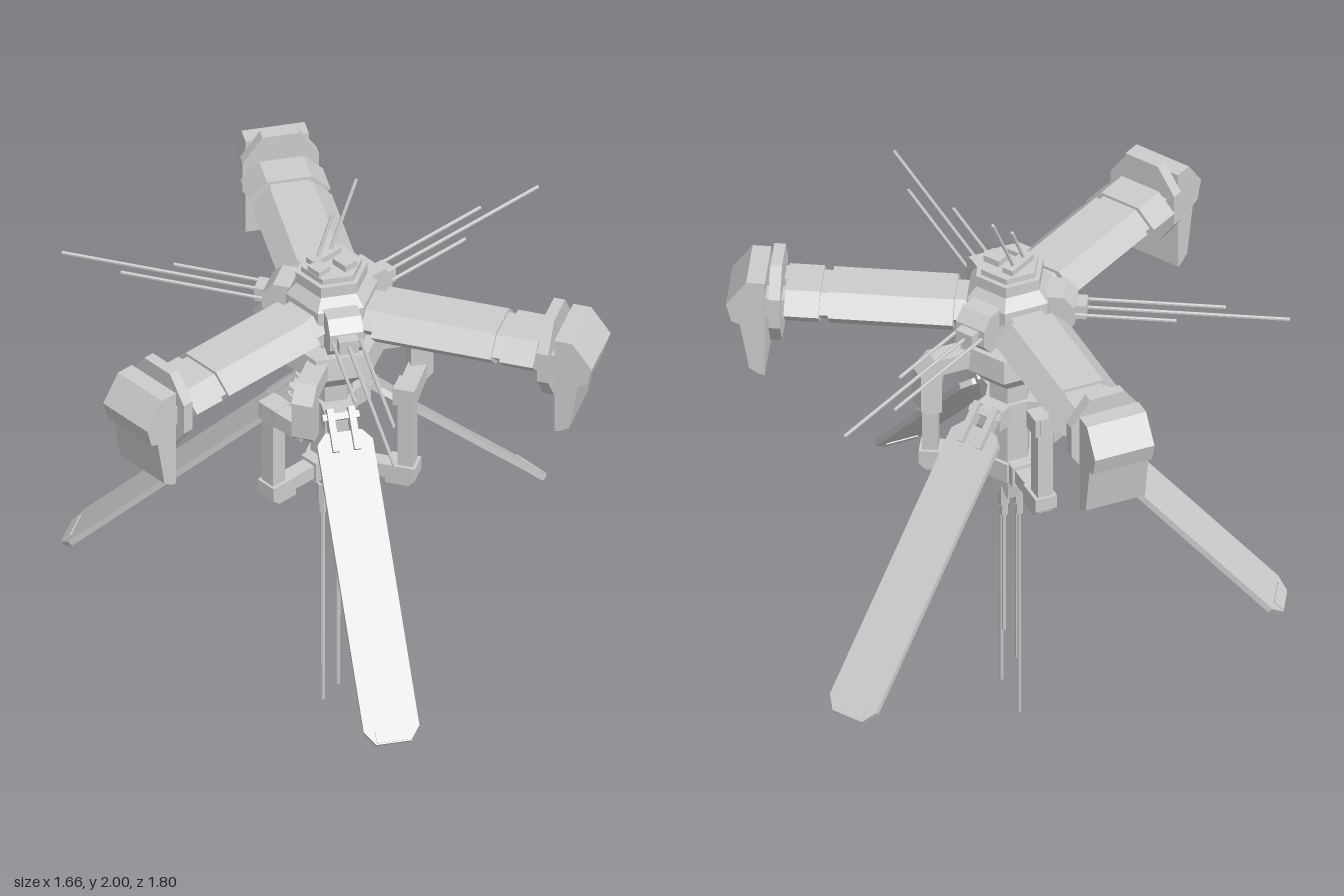
import * as THREE from 'three';

const mat = new THREE.MeshStandardMaterial({ color: 0xcccccc, flatShading: true });
const THIRD = Math.PI * 2 / 3;

function add(parent, name, geo, x = 0, y = 0, z = 0) {
  const mesh = new THREE.Mesh(geo, mat);
  mesh.name = name;
  mesh.position.set(x, y, z);
  parent.add(mesh);
  return mesh;
}

const box = (parent, name, w, h, d, x, y, z) =>
  add(parent, name, new THREE.BoxGeometry(w, h, d), x, y, z);

// Six-sided stack section with flats towards the arms
function hex(parent, name, rTop, rBottom, y0, y1) {
  const geo = new THREE.CylinderGeometry(rTop, rBottom, y1 - y0, 6).rotateY(Math.PI / 6);
  return add(parent, name, geo, 0, (y0 + y1) / 2, 0);
}

const outline = pts => new THREE.Shape(pts.map(p => new THREE.Vector2(...p)));
const extrude = (pts, depth) =>
  new THREE.ExtrudeGeometry(outline(pts), { depth, bevelEnabled: false });

// Side profile of [z, y] points, extruded evenly across x
const profile = (pts, width) =>
  extrude(pts, width).translate(0, 0, -width / 2).rotateY(-Math.PI / 2);

// Thin round rod between two points
function rod(parent, name, a, b, r = 0.006) {
  const p = new THREE.Vector3(...a), q = new THREE.Vector3(...b);
  const mesh = add(parent, name, new THREE.CylinderGeometry(r, r, p.distanceTo(q), 6));
  mesh.position.copy(p).add(q).multiplyScalar(0.5);
  mesh.quaternion.setFromUnitVectors(new THREE.Vector3(0, 1, 0), q.sub(p).normalize());
}

// Builds a part pointing along +z three times around the axis
function threeTimes(parent, name, start, build) {
  for (let i = 0; i < 3; i++) {
    const g = new THREE.Group();
    g.name = name;
    g.rotation.y = start + i * THIRD;
    build(g);
    parent.add(g);
  }
}

function buildArm(g) {
  // Flattened hexagonal beam with a neck and an end collar
  const section = (name, w, h, z0, z1) => add(g, name, extrude([
    [-w, 0], [-w * 0.54, -h], [w * 0.54, -h], [w, 0], [w * 0.54, h], [-w * 0.54, h],
  ], z1 - z0), 0, 1.59, z0);
  section('armRoot', 0.1, 0.05, 0.08, 0.18);
  section('armBeam', 0.132, 0.06, 0.17, 0.57);
  section('armNeck', 0.118, 0.05, 0.56, 0.61);
  section('armCollar', 0.135, 0.06, 0.6, 0.712);
  for (const s of [-1, 1]) box(g, 'plateLink', 0.075, 0.07, 0.1, s * 0.058, 1.59, 0.75);
  // Eight-sided plate
  add(g, 'endPlate', extrude([
    [-0.06, -0.147], [0.06, -0.147], [0.125, -0.055], [0.125, 0.055],
    [0.06, 0.147], [-0.06, 0.147], [-0.125, 0.055], [-0.125, -0.055],
  ], 0.037), 0, 1.588, 0.724);
  // Drooping end shield
  add(g, 'endShield', profile([
    [0.775, 1.69], [0.775, 1.33], [0.795, 1.335], [0.825, 1.355], [0.855, 1.525],
    [0.882, 1.535], [0.9, 1.6], [0.835, 1.69],
  ], 0.207));
}

function buildAntennas(g) {
  // Tapered mount
  add(g, 'antennaMount', profile([
    [0.08, 1.53], [0.18, 1.53], [0.215, 1.57], [0.215, 1.63], [0.18, 1.67], [0.08, 1.67],
  ], 0.11));
  box(g, 'antennaMountTip', 0.065, 0.05, 0.06, 0, 1.6, 0.22);
  [[0, 0.9], [0.045, 0.69], [-0.045, 0.54]].forEach(([x, end]) =>
    rod(g, 'sideAntenna', [x, 1.6, 0.15], [x, 1.6, end]));
}

function buildPanel(g) {
  box(g, 'panelHingeBlock', 0.1, 0.07, 0.09, 0, 1.215, 0.08);
  const panel = new THREE.Group();
  panel.name = 'slopedPanel';
  panel.position.set(0, 1.235, 0.125);
  panel.rotation.x = Math.PI / 4;
  g.add(panel);
  // Long thin blade with clipped corners
  add(panel, 'panelBlade', extrude([
    [-0.06, 0.05], [0.06, 0.05], [0.091, 0.085], [0.091, 1.02],
    [0.057, 1.065], [-0.057, 1.065], [-0.091, 1.02], [-0.091, 0.085],
  ], 0.02).rotateX(Math.PI / 2), 0, 0.01, 0);
  box(panel, 'panelTipPad', 0.11, 0.028, 0.04, 0, 0, 1.04);
  for (const x of [-0.035, 0.035]) box(panel, 'hingeFork', 0.022, 0.045, 0.14, x, 0.008, 0.045);
  box(panel, 'hingePin', 0.12, 0.022, 0.022, 0, 0.005, 0);
}

function buildPipe(g) {
  // Hooked upper bracket, offset from its post by a twelfth of a turn
  const hook = new THREE.Group();
  hook.name = 'hookBracket';
  hook.rotation.y = Math.PI / 6;
  g.add(hook);
  add(hook, 'hook', profile([
    [0.08, 1.41], [0.252, 1.41], [0.252, 1.265], [0.3, 1.265], [0.325, 1.29],
    [0.325, 1.42], [0.275, 1.47], [0.08, 1.47],
  ], 0.07));
  // Link across to the post
  const link = box(g, 'hookLink', 0.17, 0.06, 0.06, 0.065, 1.297, 0.253);
  link.rotation.y = 0.04;
  box(g, 'postHead', 0.075, 0.065, 0.07, 0, 1.297, 0.25);
  box(g, 'post', 0.052, 0.34, 0.052, 0, 1.13, 0.253);
  // Foot returning to the column
  add(g, 'postFoot', profile([
    [0.19, 0.95], [0.265, 0.95], [0.288, 0.972], [0.288, 1.02], [0.19, 1.02],
  ], 0.075));
  box(g, 'footLink', 0.05, 0.05, 0.15, 0, 0.985, 0.13);
  box(g, 'footSocket', 0.07, 0.075, 0.05, 0, 0.985, 0.075);
}

export function createModel() {
  const model = new THREE.Group();
  model.name = 'orbitalStation';

  // Central stack from top to bottom: [name, top radius, bottom radius, y0, y1]
  [
    ['topCap', 0.1, 0.1, 1.735, 1.76],
    ['topRing', 0.118, 0.118, 1.7, 1.74],
    ['hubShoulder', 0.115, 0.15, 1.66, 1.7],
    ['hub', 0.15, 0.15, 1.53, 1.66],
    ['hubNeck', 0.095, 0.095, 1.48, 1.535],
    ['ring', 0.17, 0.18, 1.405, 1.485],
    ['ringTaper', 0.165, 0.085, 1.32, 1.405],
    ['column', 0.07, 0.07, 0.94, 1.33],
    ['columnBand', 0.085, 0.085, 1.17, 1.25],
    ['columnFoot', 0.085, 0.085, 0.95, 1.02],
    ['columnEnd', 0.062, 0.045, 0.86, 0.945],
  ].forEach(s => hex(model, ...s));

  // Small equipment on the roof
  box(model, 'roofBox', 0.06, 0.035, 0.05, 0.04, 1.765, -0.02);
  box(model, 'roofBox', 0.055, 0.035, 0.05, 0.005, 1.76, 0.06);
  box(model, 'roofBox', 0.04, 0.03, 0.12, -0.035, 1.765, 0);
  rod(model, 'roofAntenna', [-0.035, 1.76, 0.035], [-0.035, 1.91, -0.035]);
  rod(model, 'roofAntenna', [-0.035, 1.76, -0.02], [-0.035, 2.0, -0.14]);

  threeTimes(model, 'arm', 0, buildArm);
  threeTimes(model, 'pipeSupport', 0, buildPipe);
  threeTimes(model, 'antennaGroup', Math.PI, buildAntennas);
  threeTimes(model, 'panel', Math.PI, buildPanel);

  // Hanging probes with stepped holders: [x, z, bottom]
  [[-0.035, 0.005, 0], [0, 0.04, 0.18], [0.035, 0.005, 0.1], [0, -0.03, 0.33]].forEach(([x, z, y]) => {
    rod(model, 'probe', [x, 0.9, z], [x, y, z]);
    rod(model, 'probeHolder', [x, 0.9, z], [x, 0.83, z], 0.018);
    rod(model, 'probeHolder', [x, 0.84, z], [x, 0.785, z], 0.012);
  });
  return model;
}
